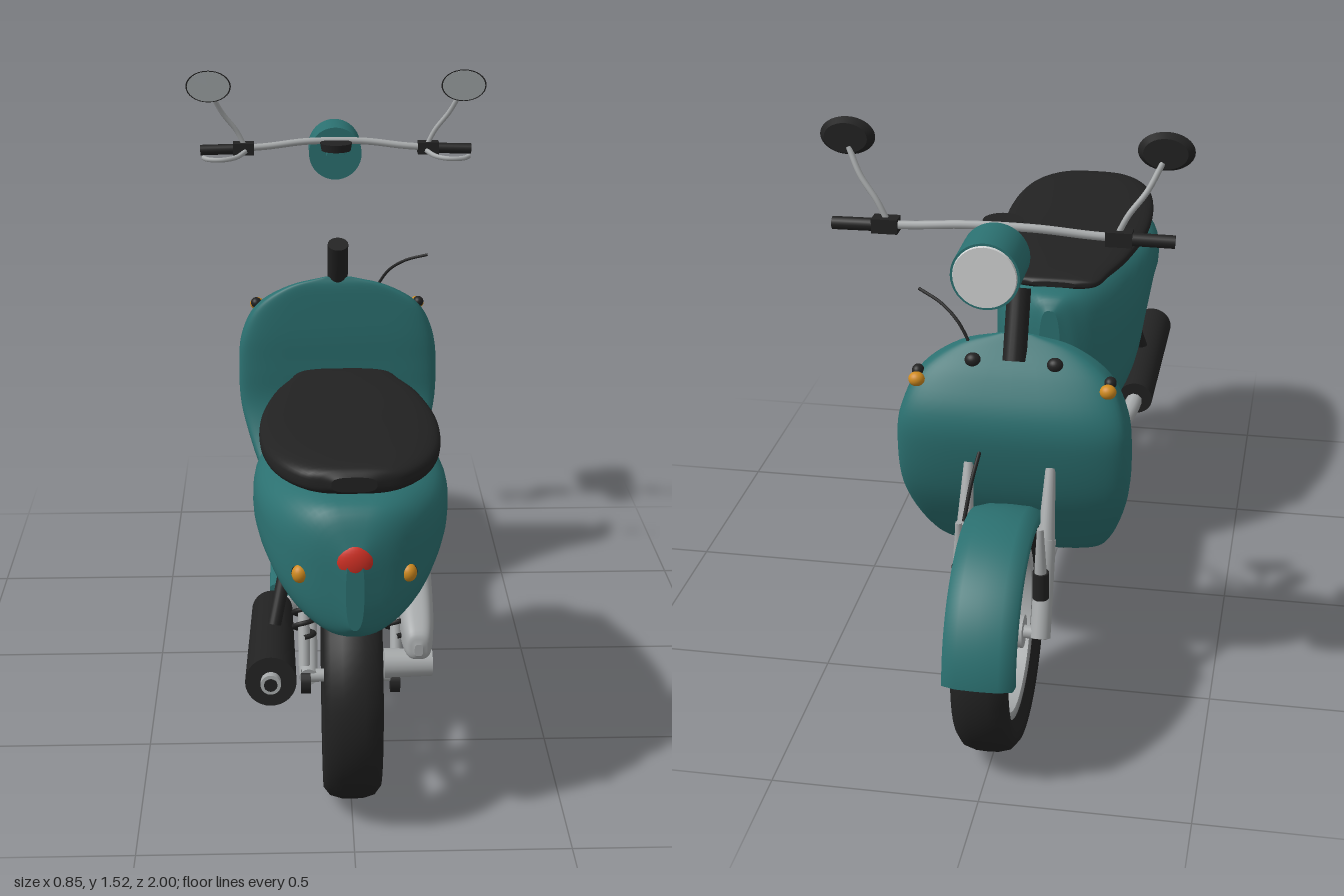
import * as THREE from 'three';

const mat = (name, color, side = THREE.FrontSide) => {
  const m = new THREE.MeshStandardMaterial({ color, side });
  m.name = name;
  return m;
};
const teal = mat('teal paint', 0x2b7070, THREE.DoubleSide);
const black = mat('black rubber', 0x222222);
const grey = mat('grey metal', 0xa6a9aa);
const glass = mat('mirror glass', 0x9a9fa1);
const lens = mat('lamp lens', 0xd2d4d4);
const red = mat('red lens', 0xd03024);
const amber = mat('amber lens', 0xcf8a1f);

const V = (x, y, z) => new THREE.Vector3(x, y, z);

function add(parent, name, geo, material, pos) {
  const m = new THREE.Mesh(geo, material);
  m.name = name;
  if (pos) m.position.set(...pos);
  parent.add(m);
  return m;
}

// Straight round bar between two points
function rod(parent, name, a, b, r0, r1, material, sides = 20) {
  const A = V(...a), B = V(...b), d = B.clone().sub(A);
  const m = add(parent, name, new THREE.CylinderGeometry(r1, r0, d.length(), sides), material);
  m.position.copy(A).add(B).multiplyScalar(0.5);
  m.quaternion.setFromUnitVectors(V(0, 1, 0), d.normalize());
  return m;
}

function tube(parent, name, pts, r, material, segs = 32) {
  const curve = new THREE.CatmullRomCurve3(pts.map(p => V(...p)));
  return add(parent, name, new THREE.TubeGeometry(curve, segs, r, 10), material);
}

function ball(parent, name, pos, scale, material) {
  const m = add(parent, name, new THREE.SphereGeometry(1, 24, 16), material, pos);
  m.scale.set(...scale);
  return m;
}

// Skin through rounded sections. Station: [half width, yA, zA, yB, zB];
// nA and nB set how square the two halves of each section are.
function loft(stations, nA, nB, steps = 5, ring = 48) {
  const ca = new THREE.CatmullRomCurve3(stations.map(s => V(s[0], s[1], s[2])), false, 'catmullrom');
  const cb = new THREE.CatmullRomCurve3(stations.map(s => V(0, s[3], s[4])), false, 'catmullrom');
  const rows = (stations.length - 1) * steps, pos = [], idx = [];
  const spow = (v, n) => Math.sign(v) * Math.pow(Math.abs(v), 2 / n);
  const section = i => {
    const a = ca.getPoint(i / rows), b = cb.getPoint(i / rows);
    for (let j = 0; j < ring; j++) {
      const t = j / ring * Math.PI * 2, n = Math.sin(t) >= 0 ? nA : nB;
      const k = (spow(Math.sin(t), n) + 1) / 2;
      pos.push(Math.max(a.x, 0.003) * spow(Math.cos(t), n), b.y + (a.y - b.y) * k, b.z + (a.z - b.z) * k);
    }
    return [0, (a.y + b.y) / 2, (a.z + b.z) / 2];
  };
  for (let i = 0; i <= rows; i++) section(i);
  for (let i = 0; i < rows; i++) for (let j = 0; j < ring; j++) {
    const a = i * ring + j, b = i * ring + (j + 1) % ring;
    idx.push(a, b, b + ring, a, b + ring, a + ring);
  }
  for (const end of [0, rows]) {
    const s = pos.length / 3, c = section(end);
    pos.push(...c);
    for (let j = 0; j < ring; j++) {
      const k = s + (j + 1) % ring;
      if (end) idx.push(s + ring, s + j, k); else idx.push(s + ring, k, s + j);
    }
  }
  const g = new THREE.BufferGeometry();
  g.setAttribute('position', new THREE.Float32BufferAttribute(pos, 3));
  g.setIndex(idx);
  g.computeVertexNormals();
  return g;
}

// Lathe turned about the x axis; points are [radius, x]
function axleLathe(pts, start = 0, len = Math.PI * 2) {
  const g = new THREE.LatheGeometry(pts.map(p => new THREE.Vector2(...p)), 64, start, len);
  return g.rotateZ(-Math.PI / 2);
}

function wheel(name, z) {
  const g = new THREE.Group();
  g.name = name;
  g.position.set(0, 0.29, z);
  add(g, 'tyre', axleLathe([[0.212, -0.05], [0.235, -0.064], [0.262, -0.067], [0.281, -0.052], [0.289, -0.025],
    [0.29, 0], [0.289, 0.025], [0.281, 0.052], [0.262, 0.067], [0.235, 0.064], [0.212, 0.05], [0.212, -0.05]]), black);
  add(g, 'rim', axleLathe([[0.194, -0.045], [0.216, -0.05], [0.216, 0.05], [0.194, 0.045], [0.194, -0.045]]), grey);
  rod(g, 'hub', [-0.06, 0, 0], [0.06, 0, 0], 0.04, 0.04, grey);
  rod(g, 'axle', [-0.115, 0, 0], [0.115, 0, 0], 0.016, 0.016, grey);
  for (let i = 0; i < 5; i++) {
    const a = i / 5 * Math.PI * 2, c = Math.cos(a), s = Math.sin(a);
    rod(g, 'spoke', [0, c * 0.03, s * 0.03], [0, c * 0.2, s * 0.2], 0.021, 0.015, grey, 12);
  }
  return g;
}

export function createModel() {
  const model = new THREE.Group();

  // Wheels, front brake disc and mudguard
  const rear = wheel('rearWheel', 0.69), front = wheel('frontWheel', -0.71);
  model.add(rear, front);
  rod(front, 'brakeDisc', [0.03, 0, 0], [0.045, 0, 0], 0.185, 0.185, grey, 48);
  add(model, 'frontFender', axleLathe([[0.265, -0.086], [0.288, -0.083], [0.298, -0.05], [0.3, 0],
    [0.298, 0.05], [0.288, 0.083], [0.265, 0.086]], Math.PI * 1.02, Math.PI * 0.7), teal, [0, 0.29, -0.705]);

  // Leg shield running down into the floor
  add(model, 'legShieldAndFloor', loft([
    [0.04, 0.955, -0.44, 0.955, -0.45], [0.14, 0.93, -0.432, 0.925, -0.475], [0.23, 0.87, -0.43, 0.865, -0.525],
    [0.275, 0.78, -0.43, 0.78, -0.57], [0.286, 0.68, -0.435, 0.69, -0.572], [0.28, 0.57, -0.435, 0.55, -0.535],
    [0.245, 0.46, -0.39, 0.42, -0.46], [0.207, 0.38, -0.32, 0.335, -0.38], [0.195, 0.35, -0.23, 0.305, -0.25],
    [0.195, 0.35, 0, 0.302, 0], [0.195, 0.35, 0.3, 0.302, 0.3]], 6, 3.2), teal);

  // Rear body and seat
  add(model, 'rearBody', loft([
    [0.03, 0.81, 0.04, 0.42, 0.04], [0.08, 0.84, 0.065, 0.38, 0.065], [0.135, 0.85, 0.12, 0.36, 0.12],
    [0.18, 0.852, 0.25, 0.37, 0.25], [0.205, 0.852, 0.38, 0.40, 0.38], [0.217, 0.852, 0.48, 0.52, 0.48],
    [0.224, 0.852, 0.58, 0.612, 0.58], [0.224, 0.852, 0.7, 0.622, 0.7], [0.205, 0.85, 0.81, 0.59, 0.81],
    [0.165, 0.845, 0.9, 0.54, 0.9], [0.105, 0.82, 0.96, 0.528, 0.96], [0.02, 0.73, 0.998, 0.56, 0.998]], 3.2, 2.5), teal);
  add(model, 'seat', loft([
    [0.06, 0.865, 0.112, 0.85, 0.112], [0.115, 0.874, 0.13, 0.842, 0.13], [0.14, 0.882, 0.2, 0.84, 0.2],
    [0.178, 0.892, 0.32, 0.84, 0.32], [0.207, 0.902, 0.5, 0.84, 0.5], [0.207, 0.914, 0.68, 0.84, 0.68],
    [0.178, 0.919, 0.82, 0.842, 0.82], [0.12, 0.912, 0.905, 0.848, 0.905], [0.05, 0.895, 0.932, 0.86, 0.932]], 3, 3), black);

  // Engine block and exhaust
  add(model, 'engine', new THREE.BoxGeometry(0.19, 0.09, 0.24), grey, [0, 0.36, 0.3]);
  tube(model, 'exhaustPipe', [[-0.05, 0.33, 0.25], [-0.13, 0.31, 0.33], [-0.17, 0.33, 0.42], [-0.188, 0.36, 0.5]], 0.024, grey);
  rod(model, 'muffler', [-0.187, 0.36, 0.475], [-0.187, 0.402, 0.93], 0.05, 0.058, black, 32);
  rod(model, 'mufflerTip', [-0.187, 0.402, 0.92], [-0.187, 0.404, 0.95], 0.023, 0.023, grey);
  rod(model, 'mufflerTipBore', [-0.187, 0.404, 0.948], [-0.187, 0.404, 0.953], 0.015, 0.015, black);
  rod(model, 'mufflerBracket', [-0.18, 0.43, 0.7], [-0.15, 0.56, 0.64], 0.016, 0.016, black);

  // Swing arm housing on the left, plain arm on the right
  add(model, 'swingArmCover', loft([
    [0.03, 0.50, 0.125, 0.40, 0.125], [0.044, 0.525, 0.17, 0.36, 0.17], [0.046, 0.535, 0.3, 0.345, 0.3],
    [0.046, 0.53, 0.42, 0.342, 0.42], [0.044, 0.505, 0.54, 0.338, 0.54], [0.04, 0.46, 0.65, 0.335, 0.65],
    [0.03, 0.42, 0.72, 0.345, 0.72], [0.01, 0.39, 0.735, 0.36, 0.735]], 3, 3), grey, [0.16, 0, 0]);
  rod(model, 'finalDrive', [0.08, 0.32, 0.69], [0.195, 0.32, 0.69], 0.036, 0.032, grey);
  rod(model, 'rightSwingArm', [-0.1, 0.34, 0.3], [-0.1, 0.29, 0.7], 0.025, 0.022, grey);

  for (const s of [-1, 1]) {
    // Rear shock with coil spring
    const a = V(s * 0.11, 0.31, 0.68), b = V(s * 0.11, 0.62, 0.54);
    rod(model, 'shock', a.toArray(), b.toArray(), 0.014, 0.014, grey);
    const coil = [], dir = b.clone().sub(a), side = V(0, -dir.z, dir.y).normalize();
    for (let i = 0; i <= 56; i++) {
      const t = i / 8 * Math.PI * 2;
      const p = a.clone().addScaledVector(dir, 0.2 + 0.7 * i / 56).addScaledVector(side, Math.cos(t) * 0.024);
      coil.push([p.x + Math.sin(t) * 0.024, p.y, p.z]);
    }
    tube(model, 'shockSpring', coil, 0.006, black, 140);
    rod(model, 'axleNut', [s * 0.095, 0.275, 0.69], [s * 0.118, 0.275, 0.69], 0.03, 0.03, black);

    // Floor mat and belly rail
    add(model, 'floorMat', new THREE.BoxGeometry(0.112, 0.009, 0.5), black, [s * 0.107, 0.352, -0.03]);
    tube(model, 'bellyRail', [[s * 0.09, 0.32, 0.22], [s * 0.09, 0.282, 0.08], [s * 0.09, 0.268, -0.08],
      [s * 0.09, 0.285, -0.22], [s * 0.09, 0.345, -0.36]], 0.024, black);

    // Front fork
    rod(model, 'forkLeg', [s * 0.1, 0.28, -0.715], [s * 0.1, 0.5, -0.625], 0.025, 0.024, grey);
    rod(model, 'forkTube', [s * 0.1, 0.49, -0.629], [s * 0.1, 0.66, -0.56], 0.022, 0.012, grey);
    rod(model, 'forkLink', [s * 0.098, 0.43, -0.695], [s * 0.098, 0.57, -0.7], 0.016, 0.008, grey);
    rod(model, 'forkDamper', [s * 0.098, 0.38, -0.695], [s * 0.098, 0.45, -0.695], 0.02, 0.02, black);

    // Indicators and shield bolts
    ball(model, 'rearIndicator', [s * 0.12, 0.675, 0.945], [0.018, 0.021, 0.018], amber);
    rod(model, 'rearIndicatorMount', [s * 0.115, 0.675, 0.9], [s * 0.119, 0.675, 0.942], 0.02, 0.02, black);
    ball(model, 'frontIndicator', [s * 0.232, 0.855, -0.525], [0.02, 0.018, 0.018], amber);
    ball(model, 'frontIndicatorMount', [s * 0.234, 0.866, -0.497], [0.015, 0.015, 0.017], black);
    ball(model, 'shieldBolt', [s * 0.1, 0.9, -0.492], [0.02, 0.018, 0.018], black);

    // Grip, lever and mirror
    rod(model, 'grip', [s * 0.245, 1.287, -0.634], [s * 0.39, 1.284, -0.63], 0.015, 0.015, black);
    add(model, 'switchBox', new THREE.BoxGeometry(0.06, 0.034, 0.038), black, [s * 0.266, 1.288, -0.632]);
    tube(model, 'lever', [[s * 0.26, 1.282, -0.615], [s * 0.285, 1.272, -0.585], [s * 0.325, 1.268, -0.567],
      [s * 0.365, 1.268, -0.575], [s * 0.38, 1.27, -0.59]], 0.007, grey);
    tube(model, 'mirrorStem', [[s * 0.262, 1.295, -0.63], [s * 0.285, 1.34, -0.627], [s * 0.325, 1.395, -0.615],
      [s * 0.355, 1.455, -0.595]], 0.007, grey);
    const mirror = new THREE.Group();
    mirror.name = 'mirror';
    mirror.position.set(s * 0.361, 1.476, -0.586);
    mirror.scale.set(1, 0.7, 1);
    rod(mirror, 'mirrorShell', [0, 0, -0.013], [0, 0, 0.008], 0.05, 0.064, black, 32);
    rod(mirror, 'mirrorGlass', [0, 0, 0.008], [0, 0, 0.011], 0.06, 0.06, glass, 32);
    model.add(mirror);
  }

  // Tail lamp
  ball(model, 'tailLamp', [0, 0.717, 0.978], [0.045, 0.045, 0.022], red);

  // Steering column and cables
  rod(model, 'steeringColumn', [0, 0.9, -0.485], [0, 1.06, -0.412], 0.029, 0.029, black);
  tube(model, 'looseCable', [[0.11, 0.92, -0.46], [0.145, 0.975, -0.442], [0.19, 1.01, -0.418], [0.252, 1.034, -0.39]], 0.004, black);
  tube(model, 'brakeCable', [[0.07, 0.7, -0.565], [0.085, 0.63, -0.605], [0.098, 0.54, -0.64]], 0.005, black);

  // Handlebar, gauge and headlamp
  tube(model, 'handlebar', [[-0.3, 1.286, -0.632], [-0.2, 1.292, -0.638], [-0.08, 1.304, -0.648],
    [0.08, 1.304, -0.648], [0.2, 1.292, -0.638], [0.3, 1.286, -0.632]], 0.01, grey, 40);
  add(model, 'gauge', new THREE.CylinderGeometry(0.046, 0.042, 0.022, 32), black, [0, 1.296, -0.612]);
  rod(model, 'headlampNeck', [0, 1.258, -0.64], [0, 1.258, -0.705], 0.027, 0.027, teal);
  rod(model, 'headlampShell', [0, 1.256, -0.7], [0, 1.256, -0.832], 0.077, 0.077, teal, 40);
  rod(model, 'headlampLens', [0, 1.256, -0.831], [0, 1.256, -0.838], 0.072, 0.07, lens, 40);

  return model;
}
